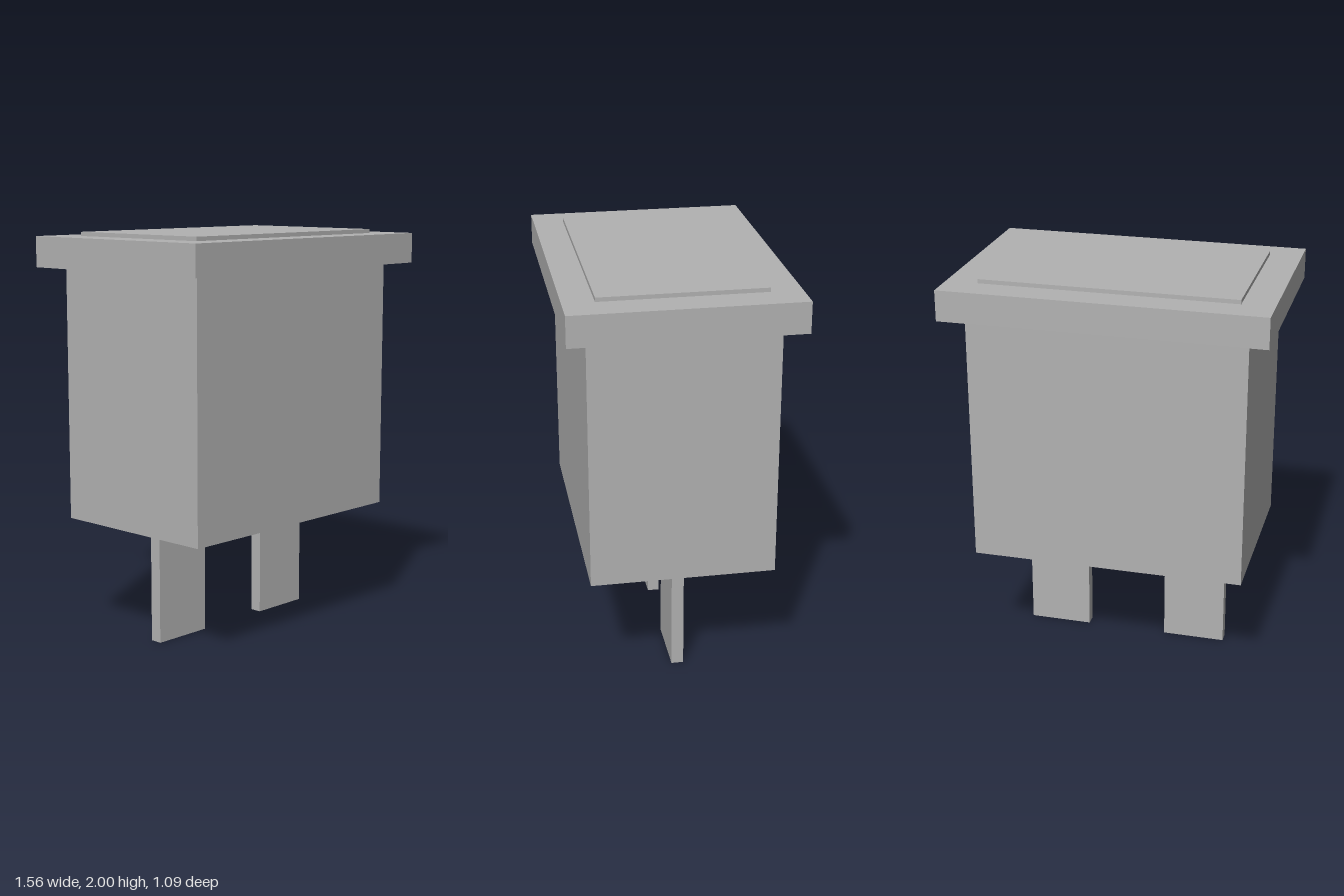
import * as THREE from 'three';

export function createModel() {
  const model = new THREE.Group();
  const grey = new THREE.MeshStandardMaterial({ color: 0xb2b2b2 });
  grey.name = 'plain grey';

  // Box spanning y0 to y1, centred on x and z = 0
  function block(name, width, depth, y0, y1, x = 0) {
    const mesh = new THREE.Mesh(new THREE.BoxGeometry(width, y1 - y0, depth), grey);
    mesh.name = name;
    mesh.position.set(x, (y0 + y1) / 2, 0);
    model.add(mesh);
  }

  // Housing with its overhanging rim and raised top panel
  block('housing', 1.35, 0.895, 0.58, 1.83);
  block('rim', 1.56, 1.09, 1.83, 1.98);
  block('topPanel', 1.245, 0.79, 1.98, 2);

  // Flat contact blades below the housing
  block('leftBlade', 0.315, 0.06, 0, 0.58, 0.3625);
  block('rightBlade', 0.315, 0.06, 0, 0.58, -0.3625);

  return model;
}
